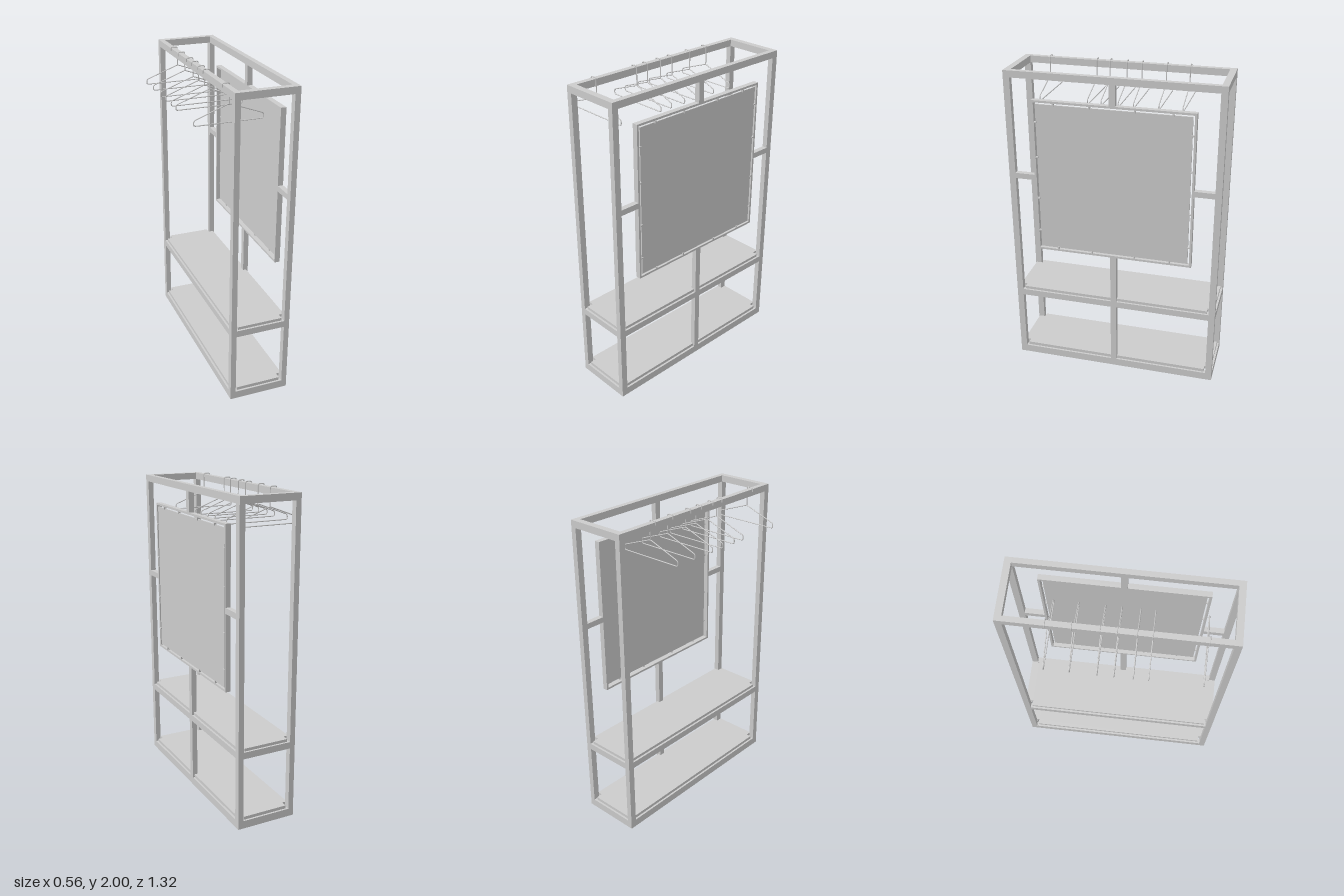
import * as THREE from 'three';

const X0 = -0.11, X1 = 0.275, Z = 0.662, H = 1.988; // frame limits
const TX = 0.034, TZ = 0.04;                        // bar thickness
const CX = (X0 + X1) / 2;

export function createModel() {
  const model = new THREE.Group();
  model.name = 'clothesRack';
  const mat = new THREE.MeshStandardMaterial({ color: 0xcccccc });

  const add = (name, geometry, parent = model) => {
    const mesh = new THREE.Mesh(geometry, mat);
    mesh.name = name;
    parent.add(mesh);
    return mesh;
  };
  // box given by its two opposite corners
  const box = (name, x0, x1, y0, y1, z0, z1, parent) => {
    const mesh = add(name, new THREE.BoxGeometry(x1 - x0, y1 - y0, z1 - z0), parent);
    mesh.position.set((x0 + x1) / 2, (y0 + y1) / 2, (z0 + z1) / 2);
    return mesh;
  };

  // corner posts
  for (const x of [X0, X1 - TX])
    for (const z of [-Z, Z - TZ]) box('cornerPost', x, x + TX, 0, H, z, z + TZ);

  // horizontal rings: base, shelf level and top
  for (const [y0, y1] of [[0, 0.05], [0.46, 0.502], [H - 0.042, H]]) {
    for (const x of [X0, X1 - TX]) box('longRail', x, x + TX, y0, y1, -Z + TZ, Z - TZ);
    for (const z of [-Z, Z - TZ]) box('shortRail', X0 + TX, X1 - TX, y0, y1, z, z + TZ);
  }

  // supports holding the mirror in the +x side
  const MX = X1 - TX;
  box('lowerCentrePost', MX, X1, 0.05, 0.46, -0.019, 0.019);
  box('middleCentrePost', MX, X1, 0.502, 0.828, -0.019, 0.019);
  box('upperCentrePost', MX, X1, 1.82, H - 0.042, -0.019, 0.019);
  for (const s of [-1, 1]) {
    const bar = box('mirrorSideBar', MX, X1, 1.307, 1.342, 0.495, Z - TZ);
    bar.position.z *= s;
  }

  // shelf boards, corners notched around the posts
  const a = (X1 - X0) / 2 - 0.013, b = a - 0.034, c = Z - 0.013, d = Z - 0.053;
  const outline = [[b, c], [b, d], [a, d], [a, -d], [b, -d], [b, -c],
    [-b, -c], [-b, -d], [-a, -d], [-a, d], [-b, d], [-b, c]];
  const board = new THREE.Shape(outline.map(([x, z]) => new THREE.Vector2(x, z)));
  const boardGeo = new THREE.ExtrudeGeometry(board, { depth: 0.02, bevelEnabled: false });
  boardGeo.rotateX(-Math.PI / 2);
  for (const y of [0.05, 0.5]) add('shelfBoard', boardGeo).position.set(CX, y, 0);

  // mirror: thin square frame, panel and small clips across the gap
  const mirror = new THREE.Group();
  mirror.name = 'mirror';
  mirror.position.set(0, 1.324, 0);
  model.add(mirror);
  const R = 0.496, T = 0.013, P = 0.473;
  for (const s of [-1, 1]) {
    box('mirrorFrameSide', MX, X1, -R, R, R - T, R, mirror).position.z *= s;
    box('mirrorFrameEdge', MX, X1, R - T, R, -R + T, R - T, mirror).position.y *= s;
    for (const t of [-0.36, -0.137, 0.137, 0.36]) {
      box('mirrorClip', X1 - 0.012, X1 + 0.003, t - 0.004, t + 0.004, P - 0.006, R - T, mirror).position.z *= s;
      box('mirrorClip', X1 - 0.012, X1 + 0.003, P - 0.006, R - T, t - 0.004, t + 0.004, mirror).position.y *= s;
    }
  }
  box('mirrorPanel', X1 - 0.012, X1 - 0.003, -P, P, -P, P, mirror);

  // hangers on the -x top rail
  const wire = (points, closed, r) => {
    const path = new THREE.CurvePath();
    const v = points.map(([x, y]) => new THREE.Vector3(x, y, 0));
    const n = v.length;
    const toward = (p, q) => p.clone().lerp(q, Math.min(0.4, 0.012 / p.distanceTo(q)));
    let from = closed ? toward(v[0], v[1]) : v[0];
    for (let i = 1; i <= (closed ? n : n - 2); i++) {
      const p = v[i % n];
      const inPt = toward(p, v[i - 1]), outPt = toward(p, v[(i + 1) % n]);
      path.add(new THREE.LineCurve3(from, inPt));
      path.add(new THREE.QuadraticBezierCurve3(inPt, p, outPt));
      from = outPt;
    }
    if (!closed) path.add(new THREE.LineCurve3(from, v[n - 1]));
    return new THREE.TubeGeometry(path, 120, r, 8, closed);
  };
  const hx = -0.071;
  const bodyGeo = wire([[hx, 1.879], [hx - 0.208, 1.803], [hx - 0.208, 1.772],
    [hx + 0.208, 1.772], [hx + 0.208, 1.803]], true, 0.0032);
  const hookGeo = wire([[hx, 1.876], [hx, 1.996], [X0 - 0.003, 1.996], [X0 - 0.003, 1.972]], false, 0.0032);
  for (const z of [-0.388, -0.245, -0.093, 0, 0.106, 0.19, 0.49]) {
    const hanger = new THREE.Group();
    hanger.name = 'hanger';
    hanger.position.z = z;
    add('hangerBody', bodyGeo, hanger);
    add('hangerHook', hookGeo, hanger);
    model.add(hanger);
  }
  return model;
}
